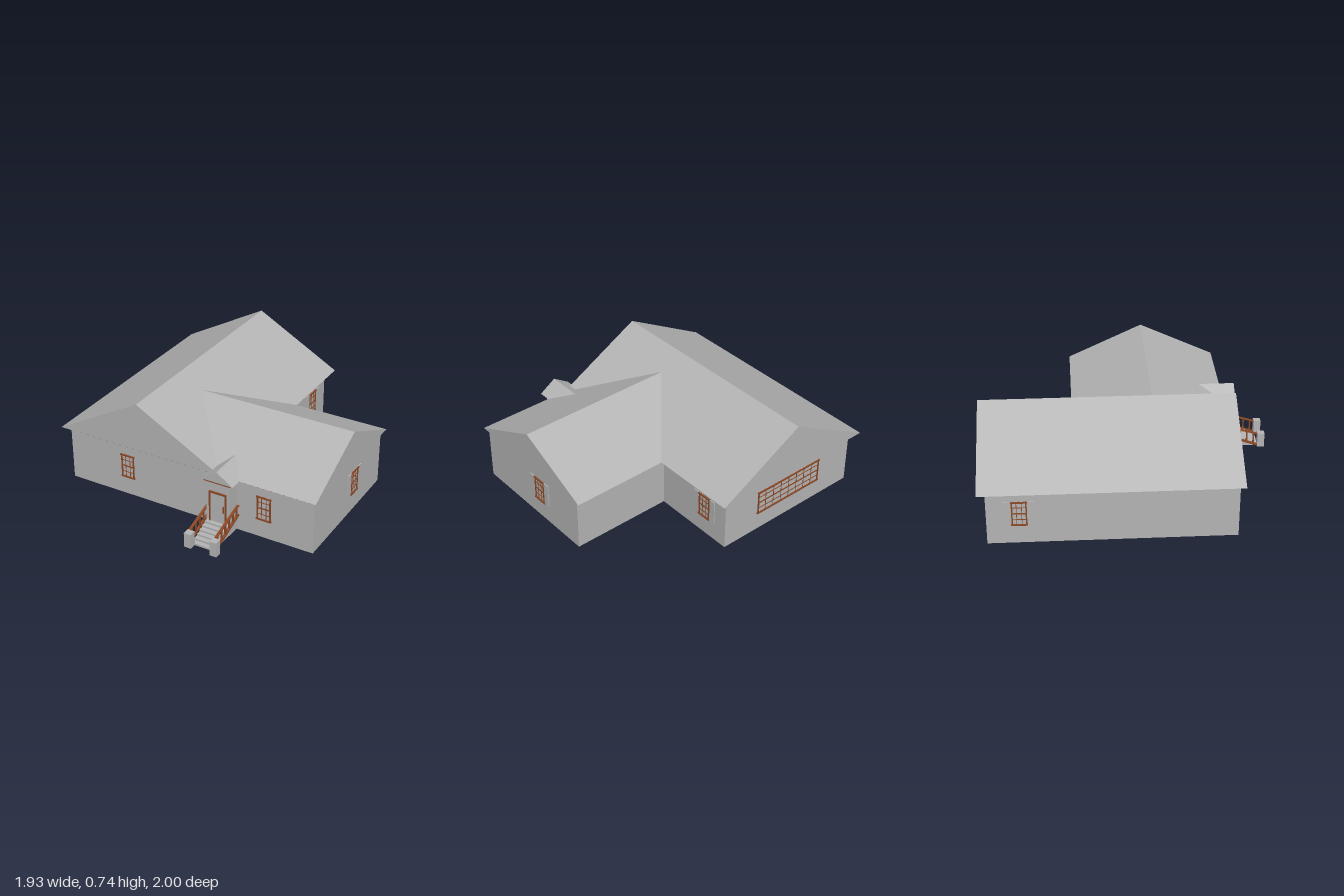
import * as THREE from 'three';

const material = (name, color) => new THREE.MeshStandardMaterial({ name, color });

export function createModel() {
  const house = new THREE.Group();
  house.name = 'house';
  const plaster = material('grey plaster', 0xb4b4b4);
  const wood = material('brown wood', 0x8b4826);

  const add = (parent, name, geometry, mat) => {
    const mesh = new THREE.Mesh(geometry, mat);
    mesh.name = name;
    parent.add(mesh);
    return mesh;
  };
  // Box given by its minimum and maximum on each axis
  const block = (parent, name, mat, x0, x1, y0, y1, z0, z1) => {
    const mesh = add(parent, name, new THREE.BoxGeometry(x1 - x0, y1 - y0, z1 - z0), mat);
    mesh.position.set((x0 + x1) / 2, (y0 + y1) / 2, (z0 + z1) / 2);
    return mesh;
  };
  // Triangular roof, its ridge running along z
  const gable = (u0, u1, base, top, depth) => {
    const shape = new THREE.Shape();
    shape.moveTo(u0, base);
    shape.lineTo(u1, base);
    shape.lineTo((u0 + u1) / 2, top);
    shape.closePath();
    return new THREE.ExtrudeGeometry(shape, { depth, bevelEnabled: false });
  };

  // Walls: one L-shaped outline with the entrance projecting from its front
  const outline = (o) => {
    const points = [
      [-0.91 - o, 0.66 + o], [0.22 - o, 0.66 + o], [0.22 - o, 0.755 + o], [0.39 + o, 0.755 + o],
      [0.39 + o, 0.66 + o], [0.943 + o, 0.66 + o], [0.943 + o, -0.34 - o], [0.22 + o, -0.34 - o],
      [0.22 + o, -0.95 - o], [-0.91 - o, -0.95 - o],
    ];
    return new THREE.Shape(points.map(([x, z]) => new THREE.Vector2(x, -z)));
  };
  const storey = (name, offset, y0, y1, mat) => {
    const geometry = new THREE.ExtrudeGeometry(outline(offset), { depth: y1 - y0, bevelEnabled: false });
    geometry.rotateX(-Math.PI / 2);
    add(house, name, geometry, mat).position.y = y0;
  };
  storey('walls', 0, 0, 0.39, plaster);
  storey('eavesTrim', 0.013, 0.377, 0.389, wood);

  // Roofs
  add(house, 'mainRoof', gable(-0.97, 0.28, 0.39, 0.735, 1.69), plaster).position.z = -1;
  const wingRoof = gable(-0.69, 0.385, 0.39, 0.64, 1.165).rotateY(Math.PI / 2);
  add(house, 'wingRoof', wingRoof, plaster).position.x = -0.2;
  add(house, 'porchRoof', gable(0.187, 0.425, 0.39, 0.468, 0.26), plaster).position.z = 0.515;

  // Window facing +z: pane, frame, glazing bars, cap and sill, optional shutters
  const makeWindow = (width, height, columns, rows, shutters) => {
    const group = new THREE.Group();
    group.name = 'window';
    const w = width / 2, h = height / 2, t = 0.009;
    block(group, 'pane', plaster, -w, w, -h, h, 0, 0.002);
    for (const s of [-1, 1]) {
      const x = s * (w - t / 2), y = s * (h - t / 2);
      block(group, 'frameSide', wood, x - t / 2, x + t / 2, -h, h, 0, 0.008);
      block(group, 'frameRail', wood, -w - 0.004, w + 0.004, y - t / 2, y + t / 2, 0, 0.011);
      if (shutters) {
        const c = s * (w + 0.026);
        block(group, 'shutter', plaster, c - 0.022, c + 0.022, -h, h, 0, 0.007);
      }
    }
    for (let i = 1; i < columns; i++) {
      const x = -w + (width * i) / columns;
      block(group, 'uprightBar', wood, x - 0.0018, x + 0.0018, -h, h, 0, 0.005);
    }
    for (let i = 1; i < rows; i++) {
      const y = -h + (height * i) / rows;
      const b = i * 2 === rows ? 0.004 : 0.0018;
      block(group, 'crossBar', wood, -w, w, y - b, y + b, 0, 0.006);
    }
    return group;
  };
  // x, z, turn, width, columns, shutters
  const windows = [
    [-0.45, 0.66, 0, 0.1, 3, false],
    [0.59, 0.66, 0, 0.1, 3, false],
    [0.943, 0.073, Math.PI / 2, 0.1, 3, true],
    [0.22, -0.75, Math.PI / 2, 0.1, 3, true],
    [-0.91, -0.74, -Math.PI / 2, 0.1, 3, true],
    [-0.345, -0.95, Math.PI, 0.56, 8, false],
  ];
  for (const [x, z, turn, width, columns, shutters] of windows) {
    const item = makeWindow(width, 0.175, columns, 4, shutters);
    item.position.set(x, 0.22, z);
    item.rotation.y = turn;
    house.add(item);
  }

  // Front door
  const door = new THREE.Group();
  door.name = 'frontDoor';
  house.add(door);
  block(door, 'doorPanel', plaster, 0.252, 0.36, 0.08, 0.297, 0.755, 0.759);
  block(door, 'doorFrameLeft', wood, 0.359, 0.369, 0.08, 0.307, 0.755, 0.765);
  block(door, 'doorFrameRight', wood, 0.243, 0.253, 0.08, 0.307, 0.755, 0.765);
  block(door, 'doorFrameTop', wood, 0.243, 0.369, 0.296, 0.307, 0.755, 0.766);
  block(door, 'doorHandle', wood, 0.347, 0.353, 0.165, 0.215, 0.759, 0.77);

  // Steps, each reaching back to the entrance
  const steps = 6;
  for (let i = 0; i < steps; i++) {
    block(house, 'step', plaster, 0.225, 0.388, (i * 0.08) / steps, ((i + 1) * 0.08) / steps, 0.755, 0.953 - i * 0.033);
  }

  // Sloping bar between two points in the y-z plane
  const slopingBar = (parent, name, x, y0, z0, y1, z1, width, thick) => {
    const length = Math.hypot(y1 - y0, z1 - z0);
    const bar = add(parent, name, new THREE.BoxGeometry(width, thick, length), wood);
    bar.position.set(x, (y0 + y1) / 2, (z0 + z1) / 2);
    bar.rotation.x = Math.atan2(y1 - y0, z0 - z1);
  };
  // Railings and end posts on both sides of the steps
  for (const [x, post] of [[0.21, 0.223], [0.4, 0.411]]) {
    const railing = new THREE.Group();
    railing.name = 'railing';
    house.add(railing);
    block(railing, 'endPost', plaster, post - 0.025, post + 0.025, 0, 0.105, 0.95, 1);
    slopingBar(railing, 'handrail', x, 0.1, 0.955, 0.185, 0.66, 0.018, 0.007);
    slopingBar(railing, 'bottomRail', x, 0.012, 0.95, 0.115, 0.66, 0.018, 0.012);
    for (let i = 0; i < 6; i++) {
      const f = (i + 0.6) / 6;
      const z = 0.95 - 0.29 * f;
      block(railing, 'baluster', wood, x - 0.005, x + 0.005, 0.012 + 0.103 * f, 0.1 + 0.085 * f, z - 0.005, z + 0.005);
    }
  }
  return house;
}
